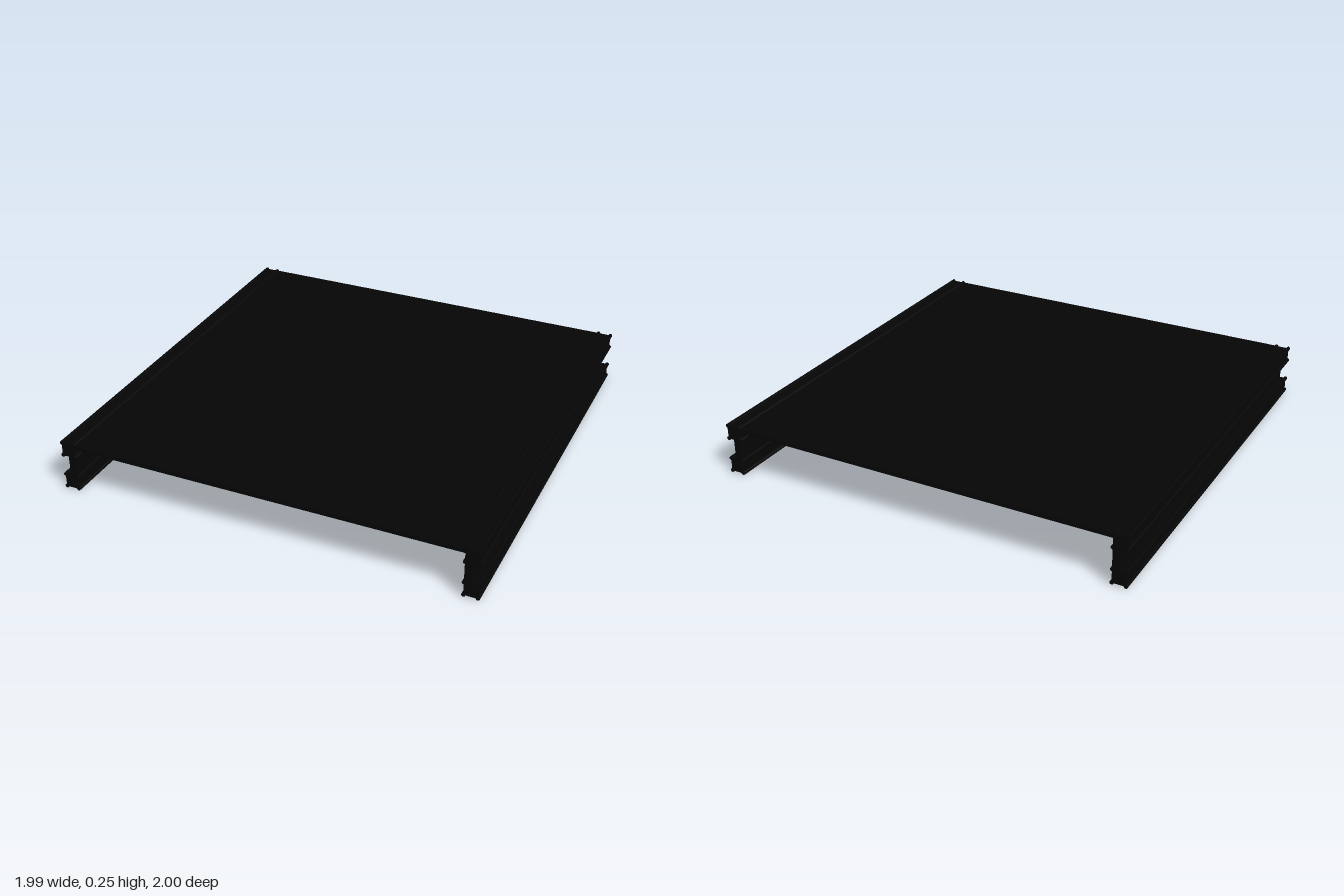
import * as THREE from 'three';
import { toCreasedNormals } from 'three/addons/utils/BufferGeometryUtils.js';

const LENGTH = 2;
const BEAD = 0.009; // radius of the rounded bead along each rail edge
const INNER = 0.924, OUTER = 0.986, WEB = 0.956;
const LEVELS = [BEAD, 0.072, 0.175, 0.248 - BEAD]; // bead heights, bottom to top

// Rail cross-section: two square flanges with beaded corners, joined by a web
function railProfile() {
  const shape = new THREE.Shape();
  const bead = (x, y, direction, sweep) => {
    const a = THREE.MathUtils.degToRad(direction);
    const half = THREE.MathUtils.degToRad(sweep / 2);
    shape.absarc(x, y, BEAD, a - half, a + half, false);
  };
  const [y0, y1, y2, y3] = LEVELS;
  bead(INNER, y0, 225, 270);
  bead(OUTER, y0, 315, 270);
  bead(OUTER, y1, 45, 270);
  shape.lineTo(WEB, y1);
  shape.lineTo(WEB, y2);
  bead(OUTER, y2, 315, 270);
  bead(OUTER, y3, 45, 270);
  bead(INNER, y3, 135, 270);
  bead(INNER, y2, 180, 180);
  bead(INNER, y1, 180, 180);
  shape.closePath();
  return shape;
}

export function createModel() {
  const group = new THREE.Group();
  const material = new THREE.MeshStandardMaterial({ color: 0x050505 });

  // Side rails, the second turned half way round
  const railGeometry = toCreasedNormals(
    new THREE.ExtrudeGeometry(railProfile(), { depth: LENGTH, bevelEnabled: false, curveSegments: 10 })
      .translate(0, 0, -LENGTH / 2),
    0.7
  );
  for (const [name, turn] of [['leftRail', 0], ['rightRail', Math.PI]]) {
    const rail = new THREE.Mesh(railGeometry, material);
    rail.name = name;
    rail.rotation.y = turn;
    group.add(rail);
  }

  // Flat deck panel between the upper flanges
  const deck = new THREE.Mesh(new THREE.BoxGeometry(INNER * 2, 0.02, LENGTH), material);
  deck.name = 'deckPanel';
  deck.position.y = 0.23;
  group.add(deck);

  return group;
}
